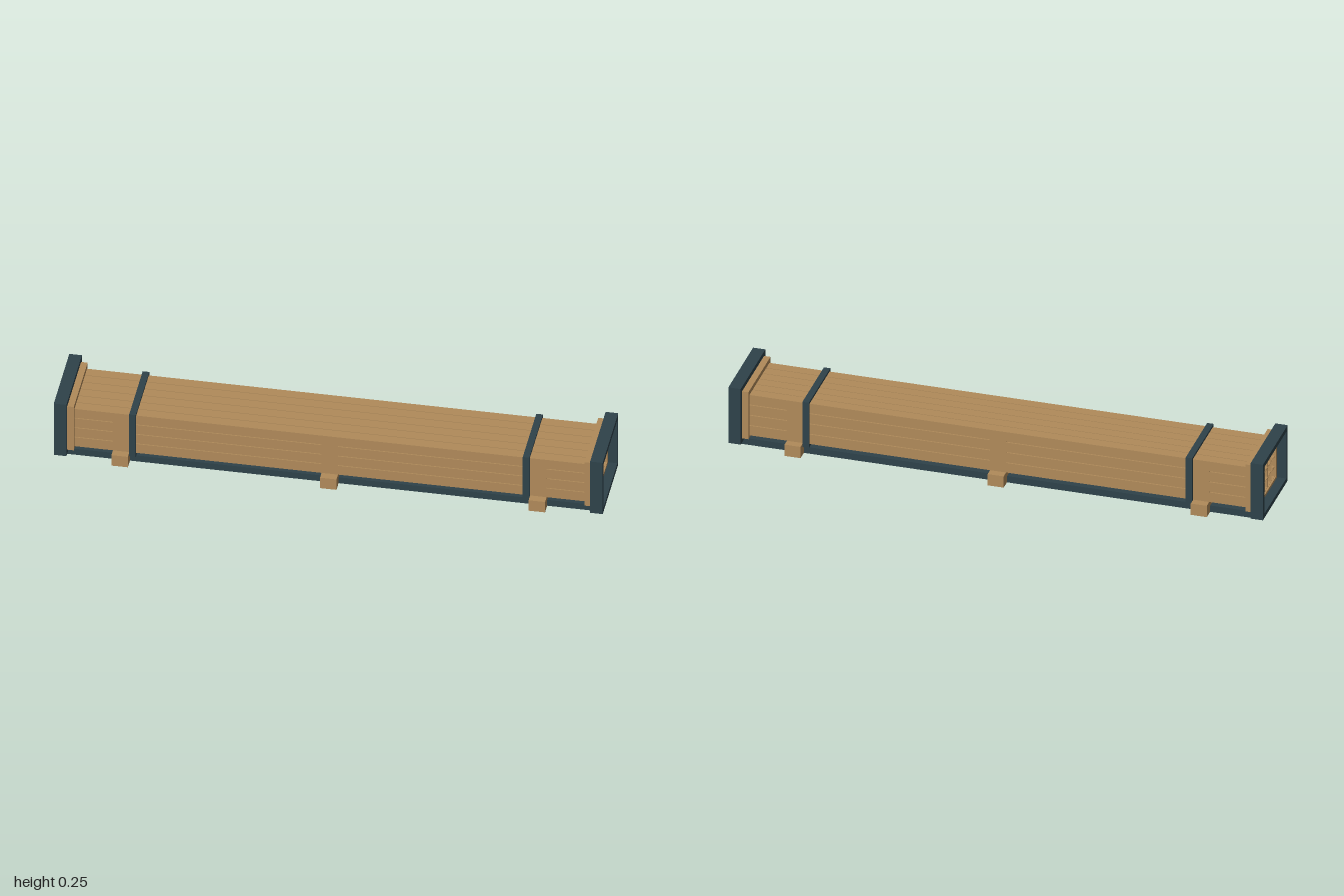
import * as THREE from 'three';

const wood = new THREE.MeshStandardMaterial({ color: 0xb08a5a });
wood.name = 'wood';
const steel = new THREE.MeshStandardMaterial({ color: 0x2e424a });
steel.name = 'dark steel';

// Rectangular outline in (z, y)
function rect(Type, z0, z1, y0, y1) {
  const p = new Type();
  p.moveTo(z0, y0);
  p.lineTo(z1, y0);
  p.lineTo(z1, y1);
  p.lineTo(z0, y1);
  p.closePath();
  return p;
}

// Hollow rectangular section running along x; outer and inner are [halfZ, y0, y1]
function hollow(outer, inner, length) {
  const shape = rect(THREE.Shape, -outer[0], outer[0], outer[1], outer[2]);
  shape.holes.push(rect(THREE.Path, -inner[0], inner[0], inner[1], inner[2]));
  const g = new THREE.ExtrudeGeometry(shape, { depth: length, bevelEnabled: false });
  return g.translate(0, 0, -length / 2).rotateY(Math.PI / 2);
}

export function createModel() {
  const model = new THREE.Group();
  model.name = 'bundledTubes';

  function add(name, geometry, material, x, y, z) {
    const mesh = new THREE.Mesh(geometry, material);
    mesh.name = name;
    mesh.position.set(x, y, z);
    model.add(mesh);
    return mesh;
  }

  const pitch = 0.042, size = 0.039, wall = 0.0015, midY = 0.13;
  const h = size / 2, hi = h - wall;

  // Stack of thin-walled square tubes, six wide and four high
  const tube = hollow([h, -h, h], [hi, -hi, hi], 1.92);
  for (let row = 0; row < 4; row++) {
    for (let col = 0; col < 6; col++) {
      add('tube', tube, wood, 0, midY + (row - 1.5) * pitch, (col - 2.5) * pitch);
    }
  }

  // Bearers under the stack and thin spacers between its layers
  const bearer = new THREE.BoxGeometry(0.06, 0.046, 0.308);
  const spacer = new THREE.BoxGeometry(0.06, pitch - size, 0.249);
  for (const x of [-0.76, 0, 0.76]) {
    add('bearer', bearer, wood, x, 0.024, 0);
    for (let i = -1; i <= 1; i++) add('spacer', spacer, wood, x, midY + i * pitch, 0);
  }

  // Long bottom rails
  const rail = new THREE.BoxGeometry(1.94, 0.026, 0.03);
  for (const z of [-0.096, 0.096]) add('rail', rail, steel, 0, 0.013, z);

  // Straps, wooden end collars and dark end frames
  const strap = hollow([0.134, 0.036, 0.221], [0.1245, 0.0465, 0.2125], 0.024);
  const collar = hollow([0.1375, 0.038, 0.23], [0.1235, 0.048, 0.211], 0.036);
  const frame = hollow([0.154, 0.021, 0.248], [0.137, 0.0385, 0.2295], 0.046);
  for (const s of [-1, 1]) {
    add('strap', strap, steel, s * 0.717, 0, 0);
    add('endCollar', collar, wood, s * 0.948, 0, 0);
    add('endFrame', frame, steel, s * 0.977, 0, 0);
  }

  return model;
}
